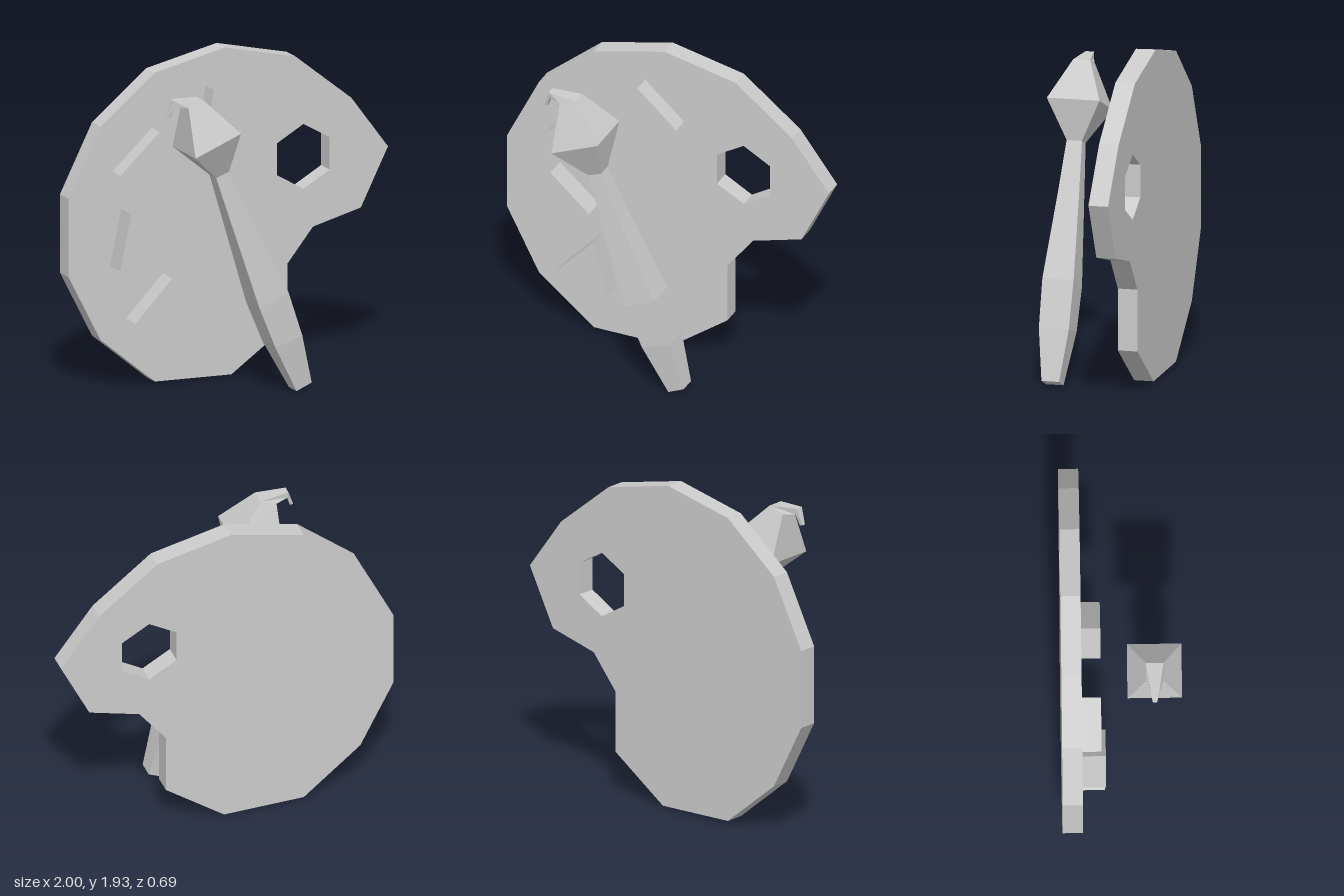
import * as THREE from 'three';

const material = new THREE.MeshStandardMaterial({ color: 0xcccccc, flatShading: true });

function addMesh(group, name, geometry) {
  const mesh = new THREE.Mesh(geometry, material);
  mesh.name = name;
  group.add(mesh);
}

const toPoints = (list) => list.map(([x, y]) => new THREE.Vector2(x, y));

// Flat slab between two depths
function slab(shape, back, front) {
  return new THREE.ExtrudeGeometry(shape, { depth: front - back, bevelEnabled: false }).translate(0, 0, back);
}

// Four-sided loft; each section is [left x, left y, right x, right y, half depth]
function loft(sections, zCentre) {
  const positions = [], index = [];
  for (const [lx, ly, rx, ry, h] of sections) {
    positions.push(lx, ly, zCentre + h, rx, ry, zCentre + h, rx, ry, zCentre - h, lx, ly, zCentre - h);
  }
  for (let i = 0; i < sections.length - 1; i++) {
    for (let j = 0; j < 4; j++) {
      const a = i * 4 + j, b = i * 4 + (j + 1) % 4;
      index.push(a, b, b + 4, a, b + 4, a + 4);
    }
  }
  const e = (sections.length - 1) * 4;
  index.push(0, 3, 2, 0, 2, 1, e, e + 1, e + 2, e, e + 2, e + 3);
  const indexed = new THREE.BufferGeometry();
  indexed.setAttribute('position', new THREE.Float32BufferAttribute(positions, 3));
  indexed.setIndex(index);
  const geometry = indexed.toNonIndexed();
  geometry.computeVertexNormals();
  return geometry;
}

export function createModel() {
  const model = new THREE.Group();
  model.name = 'paletteAndBrush';

  // Palette board with a hexagonal thumb hole
  const board = new THREE.Shape(toPoints([
    [-0.02, 1.93], [-0.46, 1.83], [-0.8, 1.55], [-1, 1.15], [-1, 0.69],
    [-0.8, 0.3], [-0.46, 0.02], [0.02, 0.01], [0.37, 0.26], [0.37, 0.62],
    [0.53, 0.82], [0.83, 0.9], [1, 1.24], [0.77, 1.55], [0.42, 1.83],
  ]));
  const hole = [];
  for (let i = 0; i < 6; i++) {
    const a = Math.PI / 2 - i * Math.PI / 3;
    hole.push([0.47 + 0.19 * Math.cos(a), 1.238 + 0.19 * Math.sin(a)]);
  }
  board.holes.push(new THREE.Path(toPoints(hole)));
  addMesh(model, 'paletteBoard', slab(board, -0.34, -0.225));

  // Triangular dabs of paint
  const dabs = [
    { front: -0.115, corners: [[-0.14, 1.72], [-0.205, 1.4], [0.1, 1.5]] },
    { front: -0.115, corners: [[-0.48, 1.51], [-0.725, 1.28], [-0.41, 1.19]] },
    { front: -0.09, corners: [[-0.67, 1.055], [-0.74, 0.73], [-0.43, 0.84]] },
    { front: -0.095, corners: [[-0.41, 0.65], [-0.64, 0.41], [-0.32, 0.33]] },
  ];
  dabs.forEach(({ front, corners }, i) => {
    addMesh(model, `paintDab${i + 1}`, slab(new THREE.Shape(toPoints(corners)), -0.23, front));
  });

  // Brush: swelling handle, then bristles that bend over into a hooked tip
  const brush = new THREE.Group();
  brush.name = 'brush';
  const neck = [-0.29, 1.3, -0.21, 1.33, 0.045];
  addMesh(brush, 'brushHandle', loft([
    [0.21, 0, 0.305, 0.04, 0.052],
    [0.06, 0.28, 0.23, 0.33, 0.088],
    [-0.04, 0.52, 0.14, 0.6, 0.092],
    [-0.2, 1.02, -0.09, 1.06, 0.062],
    neck,
  ], 0.19));
  addMesh(brush, 'brushBristles', loft([
    neck,
    [-0.47, 1.46, -0.185, 1.575, 0.155],
    [-0.465, 1.73, -0.37, 1.765, 0.05],
    [-0.54, 1.74, -0.545, 1.775, 0.025],
    [-0.56, 1.675, -0.578, 1.68, 0.012],
  ], 0.19));
  model.add(brush);

  return model;
}
